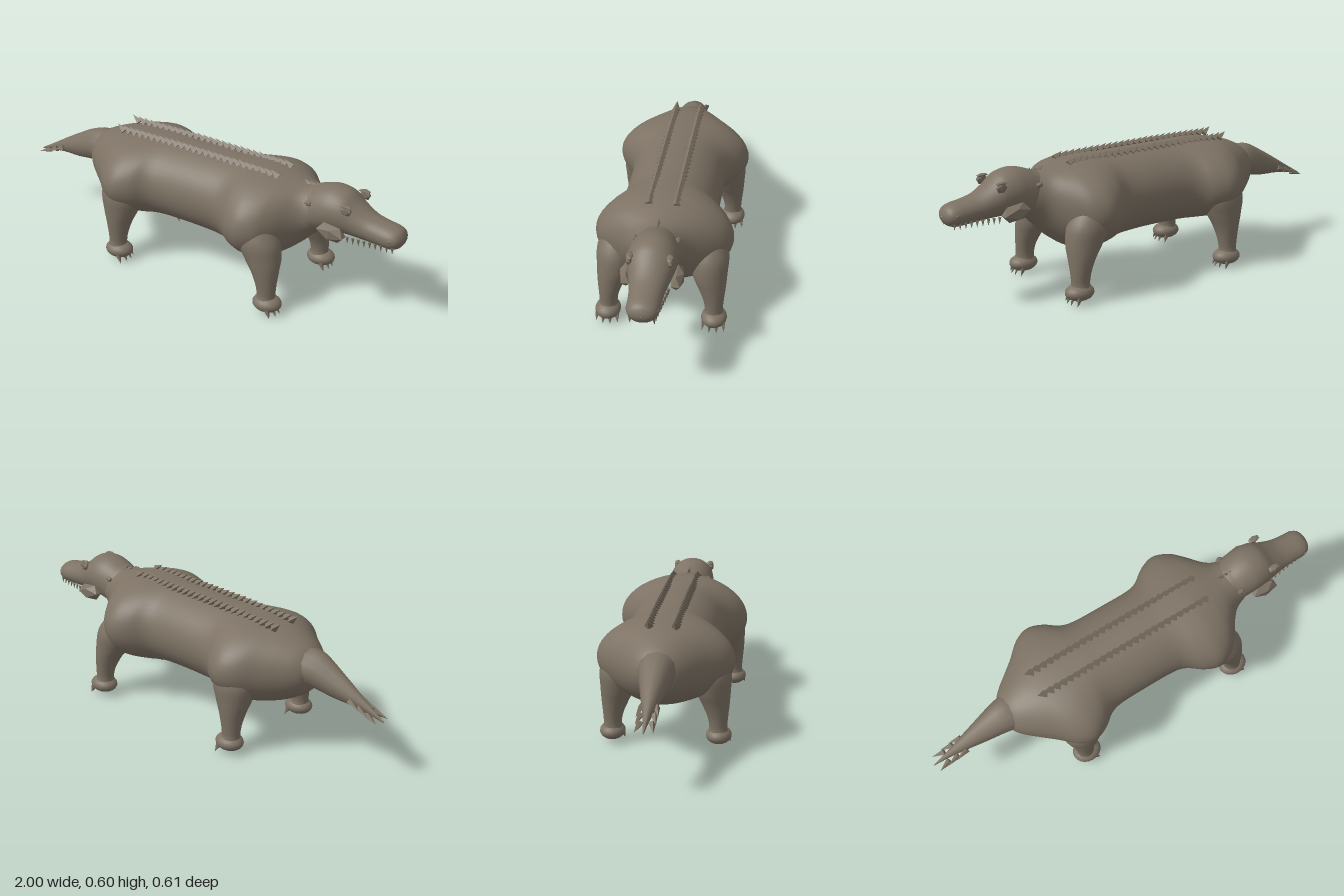
import * as THREE from 'three';

const hide = new THREE.MeshStandardMaterial({ color: 0x7d7264 });
hide.name = 'hide';

// Smooth skin over rings [cx, cy, cz, ra, rb]; ra runs along y (axis x) or x (axis y), rb along z
function loft(rows, axis, sides = 36, steps = 5) {
  const centre = new THREE.CatmullRomCurve3(rows.map(r => new THREE.Vector3(r[0], r[1], r[2])), false, 'catmullrom');
  const radii = new THREE.CatmullRomCurve3(rows.map(r => new THREE.Vector3(r[3], r[4], 0)), false, 'catmullrom');
  const pos = [], index = [], n = (rows.length - 1) * steps;
  for (let i = 0; i <= n; i++) {
    const c = centre.getPoint(i / n), r = radii.getPoint(i / n);
    for (let j = 0; j < sides; j++) {
      const t = (j / sides) * Math.PI * 2;
      const a = Math.max(r.x, 0.001) * Math.cos(t), b = Math.max(r.y, 0.001) * Math.sin(t);
      if (axis === 'x') pos.push(c.x, c.y + a, c.z + b);
      else pos.push(c.x + a, c.y, c.z + b);
      if (i < n) {
        const k = i * sides + j, l = i * sides + (j + 1) % sides;
        index.push(k, l, k + sides, l, l + sides, k + sides);
      }
    }
  }
  const g = new THREE.BufferGeometry();
  g.setAttribute('position', new THREE.Float32BufferAttribute(pos, 3));
  g.setIndex(index);
  g.computeVertexNormals();
  return g;
}

// Section given by x, top, bottom and half width
const section = ([x, top, bottom, w]) => [x, (top + bottom) / 2, 0, (top - bottom) / 2, w];

function faceted(g) {
  const f = g.index ? g.toNonIndexed() : g;
  f.computeVertexNormals();
  return f;
}

function add(parent, name, geometry, position = [0, 0, 0], scale = [1, 1, 1]) {
  const m = new THREE.Mesh(geometry, hide);
  m.name = name;
  m.position.set(...position);
  m.scale.set(...scale);
  parent.add(m);
  return m;
}

// Faceted cone with its base centre at p, pointing along d
const coneGeometry = faceted(new THREE.ConeGeometry(1, 1, 4).translate(0, 0.5, 0));
function spike(parent, name, p, d, radius, length) {
  const m = add(parent, name, coneGeometry, p, [radius, length, radius]);
  m.quaternion.setFromUnitVectors(new THREE.Vector3(0, 1, 0), new THREE.Vector3(...d).normalize());
  return m;
}

export function createModel() {
  const model = new THREE.Group();
  model.name = 'reptile';

  // Trunk with swelling haunches and shoulders, running into the neck
  add(model, 'body', loft([
    [-0.635, 0.41, 0.40, 0.001], [-0.625, 0.465, 0.335, 0.07], [-0.59, 0.505, 0.29, 0.115],
    [-0.53, 0.535, 0.25, 0.165], [-0.47, 0.555, 0.225, 0.215], [-0.40, 0.568, 0.212, 0.28],
    [-0.33, 0.575, 0.208, 0.305], [-0.26, 0.578, 0.208, 0.28], [-0.20, 0.58, 0.208, 0.235],
    [-0.13, 0.58, 0.208, 0.217], [0.02, 0.582, 0.208, 0.214], [0.15, 0.582, 0.202, 0.216],
    [0.21, 0.584, 0.196, 0.235], [0.27, 0.586, 0.19, 0.28], [0.34, 0.586, 0.186, 0.305],
    [0.41, 0.578, 0.195, 0.28], [0.46, 0.568, 0.225, 0.225], [0.51, 0.558, 0.265, 0.155],
    [0.55, 0.555, 0.305, 0.118], [0.60, 0.55, 0.355, 0.10], [0.65, 0.54, 0.40, 0.07], [0.67, 0.48, 0.47, 0.001],
  ].map(section), 'x', 48, 4));

  // Domed skull and blunt snout
  const head = new THREE.Group();
  head.name = 'head';
  model.add(head);
  add(head, 'skull', loft([
    [0.51, 0.45, 0.44, 0.001], [0.53, 0.545, 0.345, 0.085], [0.57, 0.565, 0.345, 0.1], [0.62, 0.583, 0.365, 0.105],
    [0.67, 0.59, 0.378, 0.107], [0.73, 0.577, 0.385, 0.10], [0.78, 0.537, 0.385, 0.087],
    [0.84, 0.503, 0.382, 0.074], [0.90, 0.488, 0.378, 0.069], [0.95, 0.48, 0.377, 0.067],
    [0.98, 0.468, 0.388, 0.055], [0.995, 0.447, 0.408, 0.03], [1.0, 0.43, 0.427, 0.001],
  ].map(section), 'x', 36, 4));

  // Tail drooping to a point
  add(model, 'tail', loft([
    [-1.0, 0.297, 0.291, 0.002], [-0.92, 0.345, 0.306, 0.014], [-0.84, 0.395, 0.318, 0.032],
    [-0.75, 0.448, 0.322, 0.052], [-0.66, 0.495, 0.335, 0.072], [-0.59, 0.503, 0.34, 0.085], [-0.54, 0.48, 0.36, 0.07],
  ].map(section), 'x', 12, 3));

  const ball = new THREE.SphereGeometry(1, 20, 14);
  const rock = faceted(new THREE.IcosahedronGeometry(1, 0));
  for (const s of [1, -1]) {
    const side = s < 0 ? 'left' : 'right';

    // Legs, listed from the top down, with feet and claws
    for (const [name, x, footX] of [['hind', -0.34, -0.355], ['front', 0.38, 0.465]]) {
      const leg = new THREE.Group();
      leg.name = `${side} ${name} leg`;
      model.add(leg);
      const at = t => x + (footX - x) * t;
      add(leg, 'limb', loft([
        [at(0), 0.42, s * 0.2, 0.06, 0.06], [at(0.2), 0.34, s * 0.205, 0.1, 0.085],
        [at(0.55), 0.26, s * 0.21, 0.085, 0.078], [at(0.8), 0.2, s * 0.222, 0.063, 0.062],
        [at(0.95), 0.14, s * 0.232, 0.048, 0.046], [at(1), 0.09, s * 0.235, 0.042, 0.04],
        [at(1), 0.05, s * 0.236, 0.042, 0.045], [at(1), 0.03, s * 0.236, 0.001, 0.001],
      ], 'y', 24, 4));
      add(leg, 'foot', ball, [footX + 0.007, 0.05, s * 0.237], [0.068, 0.038, 0.057]);
      for (let i = 0; i < 4; i++) {
        const k = i - 1.5;
        spike(leg, 'claw', [footX + 0.052 - Math.abs(k) * 0.013, 0.04, s * 0.237 + k * 0.028],
          [0.45, -1, k * 0.12], 0.014, 0.043);
      }
    }

    // Row of back-swept scutes along the spine
    for (let i = 0; i < 26; i++) {
      const px = -0.435 + i * 0.0335;
      const py = 0.565 + 0.008 * Math.min(1, i / 10);
      spike(model, 'back spike', [px, py, s * 0.058], [-0.9, 0.7, 0], 0.02, 0.048);
    }

    // Thorns near the tail tip
    for (let i = 0; i < 3; i++)
      spike(model, 'tail spike', [-0.84 - i * 0.045, 0.35 - i * 0.018, s * (0.03 - i * 0.003)], [-1, -0.35, s * 0.25], 0.016, 0.065);

    // Faceted cheek lump, eye and ear
    add(head, `${side} cheek`, rock, [0.70, 0.418, s * 0.105], [0.075, 0.042, 0.033]).rotation.z = -0.12;
    add(head, `${side} eye`, rock, [0.757, 0.532, s * 0.086], [0.028, 0.025, 0.014]);
    add(head, `${side} brow`, rock, [0.755, 0.55, s * 0.083], [0.03, 0.008, 0.016]);
    add(head, `${side} ear`, rock, [0.575, 0.515, s * 0.092], [0.018, 0.014, 0.012]);
    add(head, `${side} nostril`, rock, [0.955, 0.435, s * 0.063], [0.01, 0.008, 0.006]);

    // Teeth along the jaw
    for (let i = 0; i < 9; i++)
      spike(head, 'tooth', [0.765 + i * 0.025, 0.402, s * (0.076 - i * 0.0035)], [0.1, -1, s * 0.1], 0.008, 0.03);
  }

  // Small nape plates
  for (let i = 0; i < 3; i++)
    spike(model, 'nape plate', [0.53 + i * 0.03, 0.55, 0], [-0.9, 0.7, 0], 0.012, 0.035);

  return model;
}
